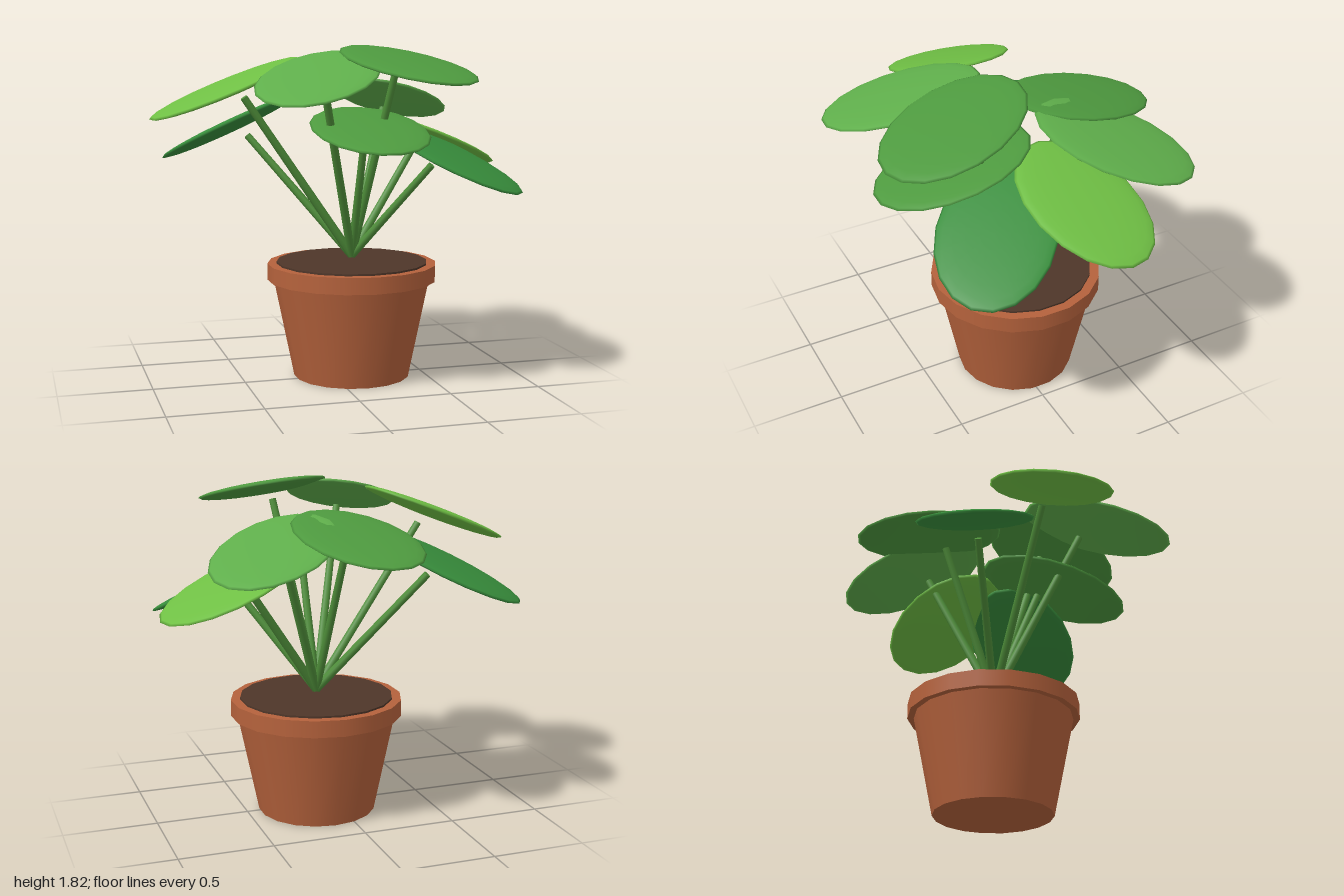
import * as THREE from 'three';

const CX = 0.11, CZ = -0.03; // pot axis
const mat = (color) => new THREE.MeshStandardMaterial({ color });

function add(parent, name, geometry, material, x, y, z) {
  const mesh = new THREE.Mesh(geometry, material);
  mesh.name = name;
  mesh.position.set(x, y, z);
  parent.add(mesh);
  return mesh;
}

// Straight tapered stalk between two points
function addStem(parent, from, to, material) {
  const dir = to.clone().sub(from);
  const geo = new THREE.CylinderGeometry(0.02, 0.024, dir.length(), 8);
  const mid = from.clone().add(to).multiplyScalar(0.5);
  const stem = add(parent, 'stem', geo, material, mid.x, mid.y, mid.z);
  stem.quaternion.setFromUnitVectors(new THREE.Vector3(0, 1, 0), dir.normalize());
}

export function createModel() {
  const model = new THREE.Group();
  model.name = 'pottedPlant';

  // Pot, rim and soil
  const clay = mat(0xb5623c);
  const pot = new THREE.Group();
  pot.name = 'pot';
  model.add(pot);
  add(pot, 'potBody', new THREE.CylinderGeometry(0.43, 0.32, 0.54, 18), clay, CX, 0.27, CZ);
  add(pot, 'potRim', new THREE.CylinderGeometry(0.465, 0.465, 0.09, 18), clay, CX, 0.585, CZ);
  add(pot, 'soil', new THREE.CylinderGeometry(0.415, 0.415, 0.04, 18), mat(0x4e3629), CX, 0.62, CZ);

  // Leaf centres, going round the plant from the back
  const leaves = [
    [0.03, 1.55, -0.44],
    [0.45, 1.51, -0.41],
    [0.595, 1.30, -0.155],
    [0.55, 1.235, 0.31],
    [0.28, 1.72, 0.40],
    [-0.21, 1.66, 0.47],
    [-0.595, 1.595, 0.025],
    [-0.50, 1.37, -0.36],
    [0.10, 1.385, 0.33],
  ];
  // Colour and droop repeat every four leaves; the last one restarts the cycle
  const greens = [0x4e9a3f, 0x5fae4b, 0x6fbf44, 0x388e3c].map(mat);
  const droops = [0.22, 0.30, 0.38, 0.44];
  const stemMat = mat(0x4f8f3a);
  const root = new THREE.Vector3(CX, 0.67, CZ);
  const blade = new THREE.SphereGeometry(1, 18, 12).scale(0.305, 0.03, 0.43);

  const foliage = new THREE.Group();
  foliage.name = 'foliage';
  model.add(foliage);
  leaves.forEach(([x, y, z], i) => {
    const yaw = Math.atan2(x - CX, z - CZ);
    const leaf = add(foliage, 'leaf', blade, greens[i % 4], x, y, z);
    leaf.rotation.set(droops[i % 4], yaw, 0, 'YXZ');
    // Stalk meets the blade a little inside its centre
    const tip = new THREE.Vector3(x - 0.1 * Math.sin(yaw), y - 0.05, z - 0.1 * Math.cos(yaw));
    addStem(foliage, root, tip, stemMat);
  });

  return model;
}
